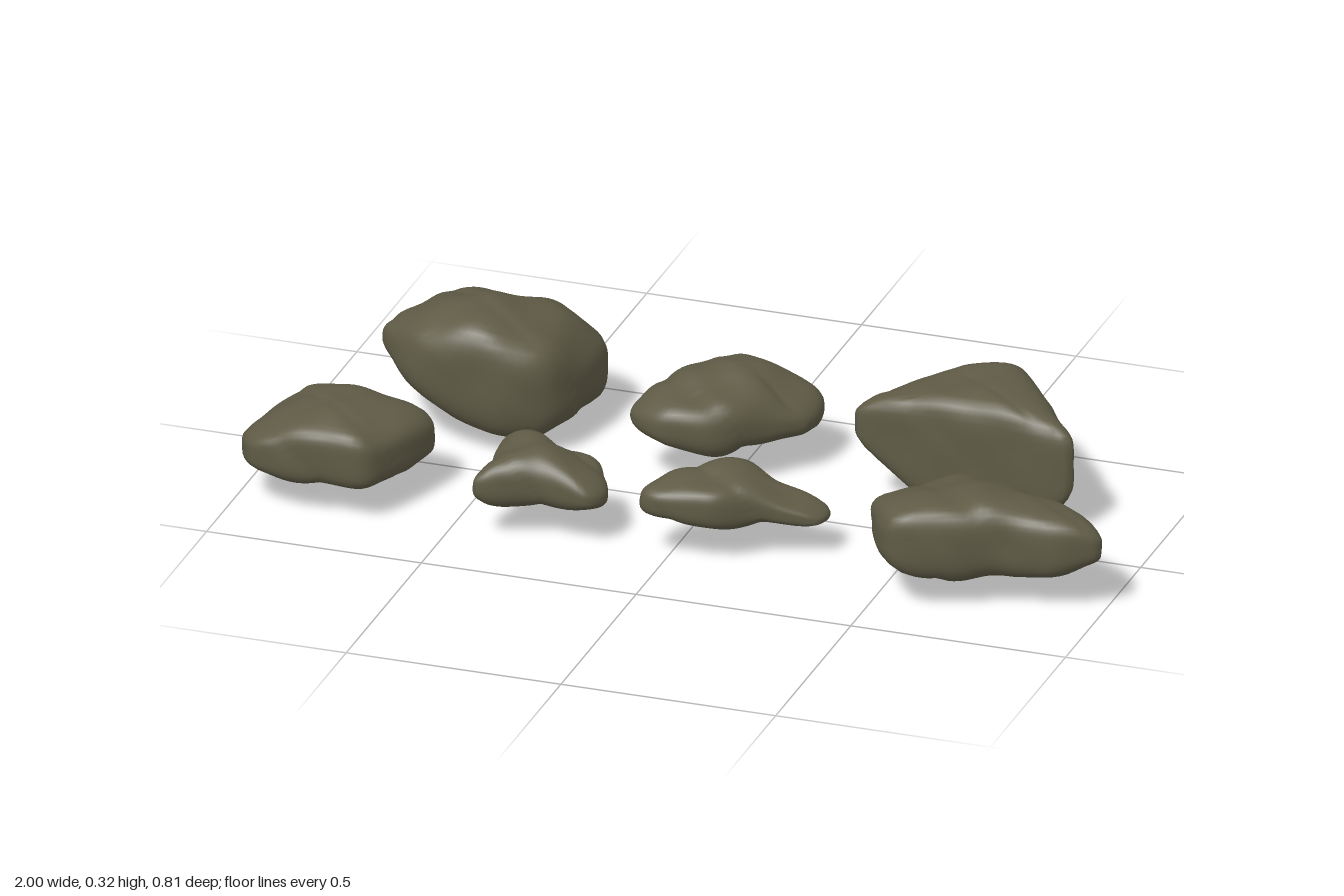
import * as THREE from 'three';

const AROUND = 72, RINGS = 32;

// Smooth curve through three evenly spaced values, t from 0 to 1
function through([a, b, c], t) {
  return a + (4 * b - 3 * a - c) * t + 2 * (a - 2 * b + c) * t * t;
}

// Broad lumps plus narrow chipped grooves, between about -1 and 1
function roughness(x, y, z) {
  const broad = Math.sin(17 * x + 9 * z + 2 * Math.sin(13 * y)) * Math.cos(19 * z - 8 * x + 7 * y);
  const fine = Math.sin(41 * x + 23 * y) * Math.sin(37 * z - 29 * y + 1.3);
  const groove = Math.pow(1 - Math.abs(Math.sin(11 * x - 14 * z + 12 * y)), 4);
  return 0.65 * broad + 0.3 * fine - 0.5 * groove;
}

// A rock swells from its plan outline [x, z] to the low and high heights along x.
// A larger squareness gives steeper sides and a smoother, slab-like surface;
// tilt raises the top towards the front.
function rockGeometry(squareness, tilt, lows, highs, plan) {
  const corners = plan.map(([x, z]) => new THREE.Vector3(x, 0, z));
  const outline = new THREE.CatmullRomCurve3(corners, true, 'catmullrom', 0.35).getSpacedPoints(AROUND).slice(0, AROUND);
  const bounds = new THREE.Box3().setFromPoints(outline);
  const centre = outline.reduce((sum, p) => sum.add(p), new THREE.Vector3()).divideScalar(AROUND);
  const lump = 0.04 / squareness;
  const positions = [], index = [];

  const addPoint = (p, r, h) => {
    const out = p.clone().sub(centre);
    const x = centre.x + out.x * r, z = centre.z + out.z * r;
    const t = (x - bounds.min.x) / (bounds.max.x - bounds.min.x);
    const high = through(highs, t) + tilt * (z - centre.z);
    const y = THREE.MathUtils.lerp(through(lows, t), high, (h + 1) / 2);
    const n = lump * roughness(x, y, z);
    out.normalize().multiplyScalar(n * r * 0.5);
    positions.push(x + out.x, Math.max(0, y + n * h), z + out.z);
  };

  // Bottom pole, rings following a rounded-square profile, top pole
  addPoint(centre, 0, -1);
  for (let j = 1; j < RINGS; j++) {
    const a = (j / RINGS - 0.5) * Math.PI;
    const c = Math.cos(a), s = Math.sin(a);
    const k = Math.pow(Math.pow(c, squareness) + Math.pow(Math.abs(s), squareness), -1 / squareness);
    for (const p of outline) addPoint(p, c * k, s * k);
  }
  addPoint(centre, 0, 1);

  const top = 1 + (RINGS - 1) * AROUND;
  const at = (j, i) => 1 + j * AROUND + (i % AROUND);
  for (let i = 0; i < AROUND; i++) {
    index.push(0, at(0, i), at(0, i + 1));
    for (let j = 0; j < RINGS - 2; j++) {
      index.push(at(j, i), at(j + 1, i), at(j, i + 1));
      index.push(at(j, i + 1), at(j + 1, i), at(j + 1, i + 1));
    }
    index.push(at(RINGS - 2, i), top, at(RINGS - 2, i + 1));
  }

  const geometry = new THREE.BufferGeometry();
  geometry.setAttribute('position', new THREE.Float32BufferAttribute(positions, 3));
  geometry.setIndex(index);
  geometry.computeVertexNormals();
  return geometry;
}

export function createModel() {
  const group = new THREE.Group();
  group.name = 'rocks';
  const stone = new THREE.MeshStandardMaterial({ color: 0x5f5b46 });
  stone.name = 'mossy grey stone';

  const addRock = (name, ...shape) => {
    const rock = new THREE.Mesh(rockGeometry(...shape), stone);
    rock.name = name;
    group.add(rock);
  };

  // Back row
  addRock('backRightBoulder', 3.4, .15, [.17, .05, .035], [.25, .315, .25],
    [[-.77, -.38], [-.56, -.38], [-.43, -.41], [-.37, -.36], [-.37, -.22], [-.41, -.1], [-.53, -.05], [-.72, -.07], [-.83, -.19]]);
  addRock('backMiddleStone', 2.8, -.05, [.11, .08, .08], [.21, .24, .17],
    [[-.03, -.36], [.14, -.33], [.145, -.21], [0, -.05], [-.13, -.015], [-.22, -.09], [-.15, -.27]]);
  addRock('backLeftSlab', 6, 0, [.16, .01, .08], [.25, .298, .265],
    [[.53, -.355], [.62, -.35], [.75, -.18], [.8, -.1], [.55, -.09], [.31, -.1], [.32, -.17], [.43, -.31]]);

  // Front row
  addRock('frontRightBlock', 4.5, 0, [.09, .07, .08], [.16, .232, .19],
    [[-.92, .085], [-.72, .09], [-.6, .12], [-.67, .345], [-.78, .365], [-.95, .355], [-1, .24]]);
  addRock('frontRightChip', 3, 0, [.09, .08, .085], [.175, .2, .15],
    [[-.44, .12], [-.35, .12], [-.28, .15], [-.2, .16], [-.155, .26], [-.18, .32], [-.3, .32], [-.43, .35], [-.43, .24]]);
  addRock('frontMiddleChip', 3.2, 0, [.09, .08, .075], [.19, .19, .115],
    [[.13, .1], [.22, .13], [.32, .13], [.315, .2], [.19, .255], [.11, .31], [-.01, .335], [-.06, .31], [-.04, .23], [.05, .14]]);
  addRock('frontLeftSlab', 3.6, .18, [.09, .06, .1], [.22, .245, .215],
    [[.59, .04], [.75, .06], [.82, .12], [.95, .18], [1, .25], [.91, .3], [.8, .32], [.56, .405], [.465, .26], [.52, .09]]);

  return group;
}
